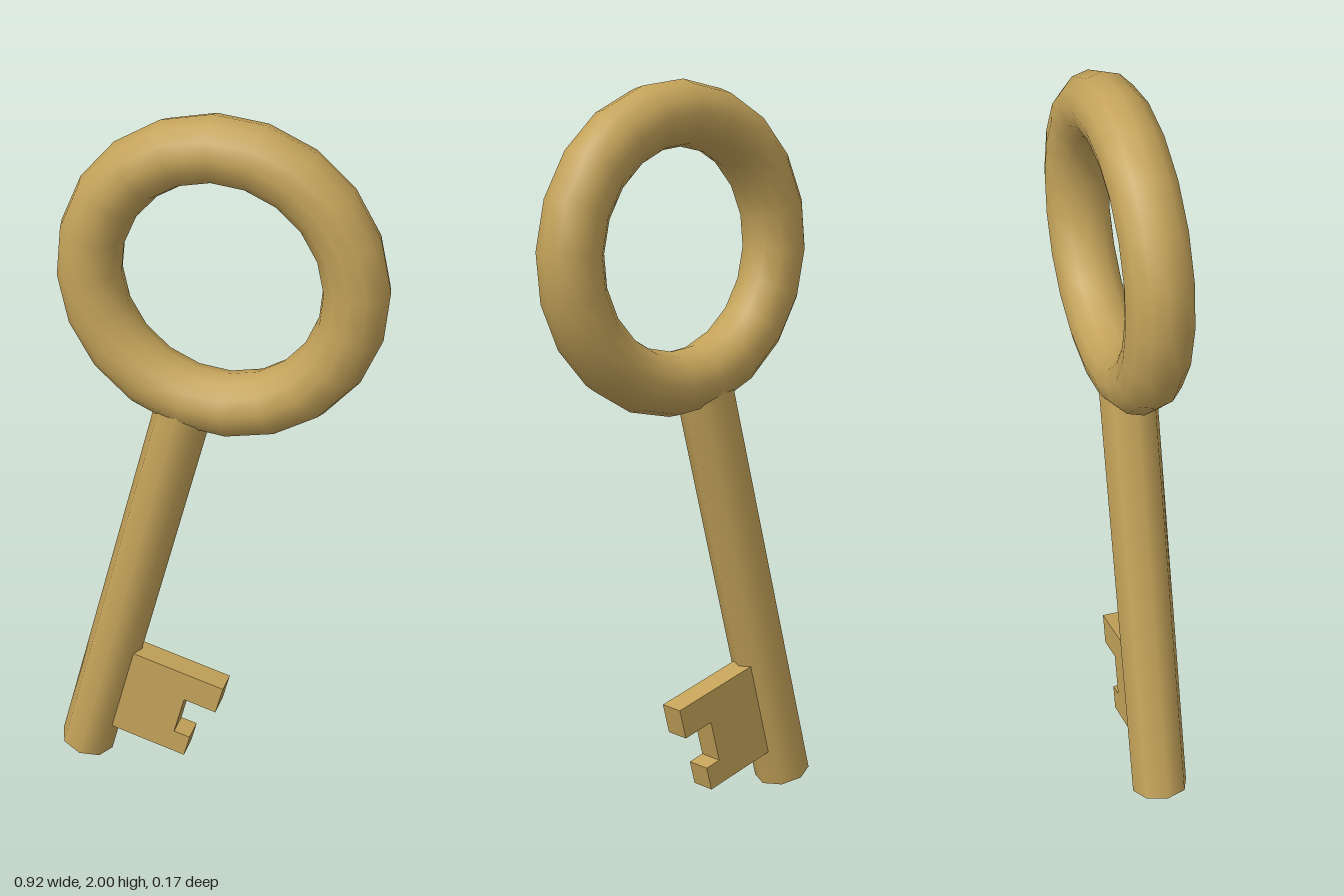
import * as THREE from 'three';

export function createModel() {
  const model = new THREE.Group();
  model.name = 'key';
  const brass = new THREE.MeshStandardMaterial({ color: 0xc4a35a });
  brass.name = 'brass';

  // Upright key inside a tilted group, origin at the tip of the shaft
  const body = new THREE.Group();
  body.name = 'tiltedKey';
  body.position.set(-0.385, 0.025, 0);
  body.rotation.z = THREE.MathUtils.degToRad(-14.8);
  model.add(body);

  const add = (name, geometry, y) => {
    const mesh = new THREE.Mesh(geometry, brass);
    mesh.name = name;
    mesh.position.y = y;
    body.add(mesh);
    return mesh;
  };

  // Ring handle
  const ringY = 1.588;
  add('ringHandle', new THREE.TorusGeometry(0.355, 0.087, 12, 20), ringY);

  // Shaft, ending inside the ring's tube
  const shaftLength = 1.23;
  add('shaft', new THREE.CylinderGeometry(0.078, 0.078, shaftLength, 8), shaftLength / 2);

  // Notched bit, rooted in the shaft
  const outline = [
    [0, 0.106], [0.289, 0.106], [0.289, 0.175], [0.241, 0.175],
    [0.241, 0.296], [0.337, 0.296], [0.337, 0.383], [0, 0.383],
  ].map(([x, y]) => new THREE.Vector2(x, y));
  const bitDepth = 0.07;
  const bit = new THREE.ExtrudeGeometry(new THREE.Shape(outline), { depth: bitDepth, bevelEnabled: false });
  bit.translate(0, 0, -bitDepth / 2);
  add('bit', bit, 0);

  return model;
}
